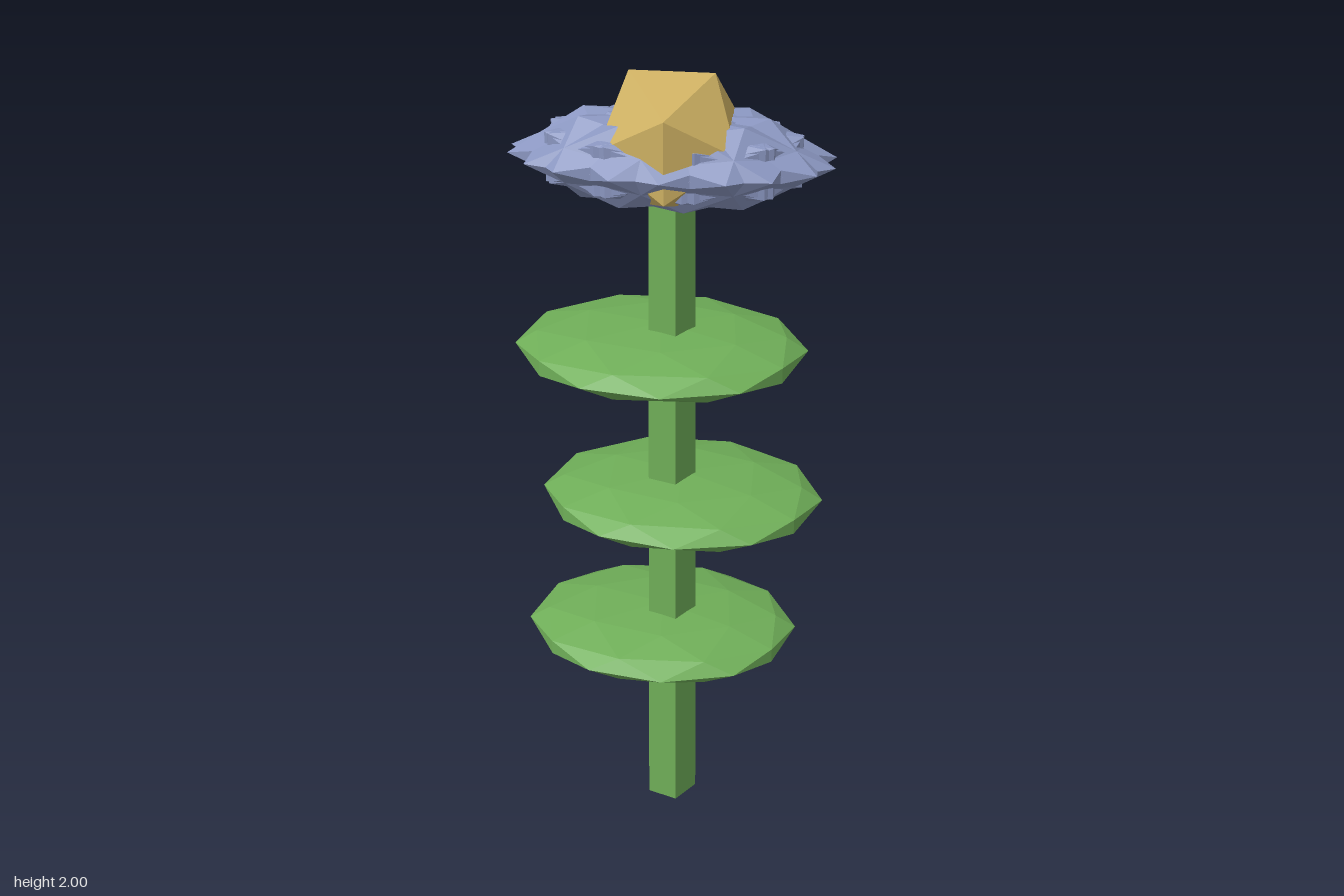
import * as THREE from 'three';

const flat = (color) => new THREE.MeshStandardMaterial({ color, flatShading: true });

export function createModel() {
  const model = new THREE.Group();
  model.name = 'flower';
  const green = flat(0x6fae58), blue = flat(0x8a96c0), yellow = flat(0xcdb062);

  const add = (parent, name, geometry, material, x = 0, y = 0, z = 0) => {
    const mesh = new THREE.Mesh(geometry, material);
    mesh.name = name;
    mesh.position.set(x, y, z);
    parent.add(mesh);
    return mesh;
  };

  // Five-sided stem, slightly tapered, one edge facing +x
  const stemHeight = 1.8;
  const stem = new THREE.CylinderGeometry(0.055, 0.067, stemHeight, 5).rotateY(Math.PI / 2);
  add(model, 'stem', stem, green, -0.003, stemHeight / 2, 0);

  // Flattened faceted leaves, shifted to alternating sides
  for (let i = 0; i < 3; i++) {
    const side = i % 2 ? 1 : -1;
    const leaf = new THREE.IcosahedronGeometry(1, 1)
      .rotateY(Math.PI / 2 + (i % 2 ? 0.025 : 0.08))
      .scale(0.34, 0.0625, 0.245);
    add(model, 'leaf', leaf, green, side * 0.025, 0.547 + i * 0.398, 0);
  }

  // Spiky blossom: overlapping petals turned about the centre, squashed in depth
  const petals = new THREE.Group();
  petals.name = 'petals';
  petals.position.y = 1.812;
  petals.scale.set(0.36, 1, 0.166);
  const petalCount = 9;
  for (let i = 0; i < petalCount; i++) {
    const petal = new THREE.IcosahedronGeometry(1, 0)
      .scale(0.92, 0.1087, 0.92)
      .translate(0.1, 0, 0)
      .rotateY((i / petalCount) * Math.PI * 2);
    add(petals, 'petal', petal, blue);
  }
  model.add(petals);

  // Faceted flower centre
  add(model, 'flowerCentre', new THREE.IcosahedronGeometry(0.176, 0), yellow, 0, 1.85, 0);

  return model;
}
